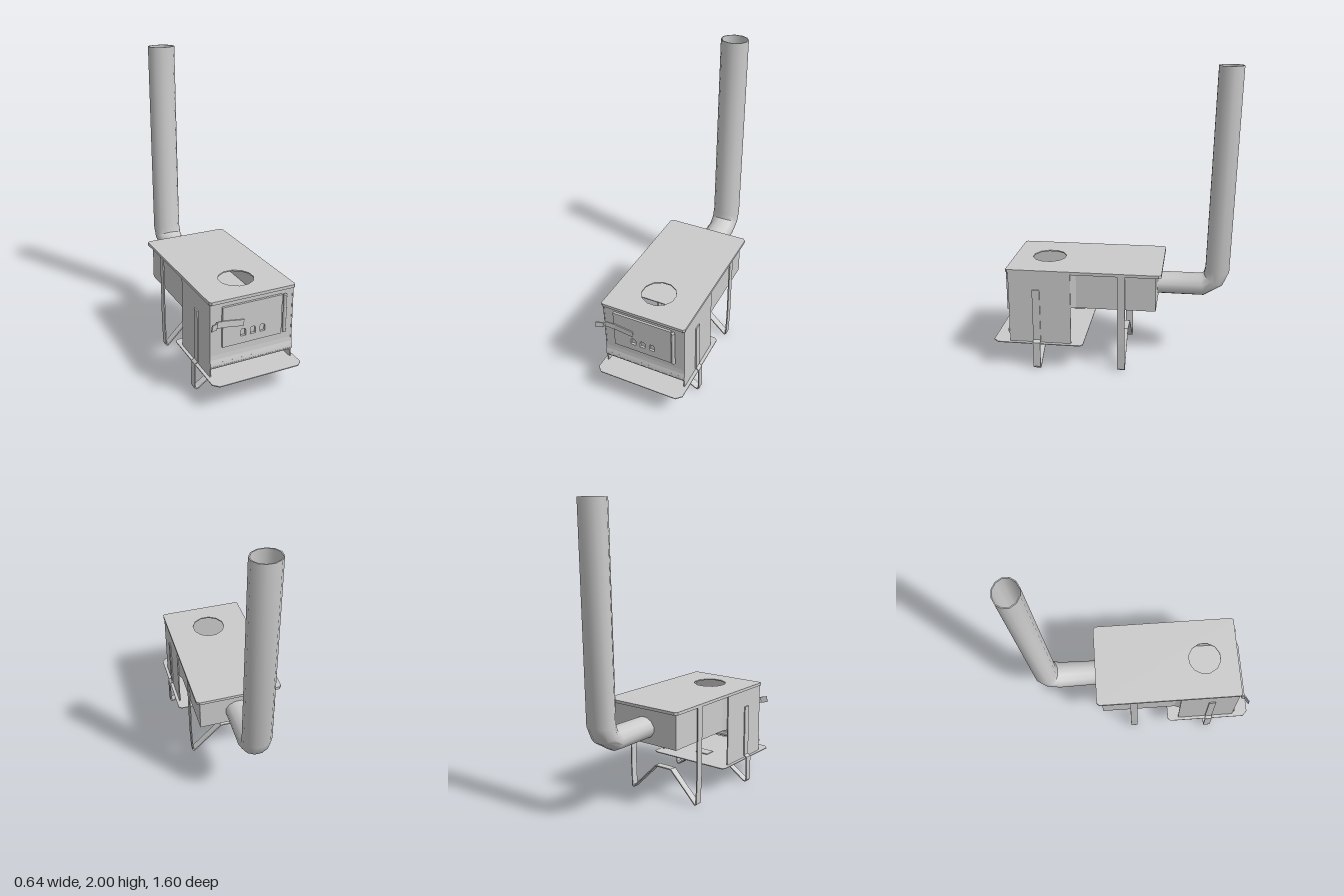
import * as THREE from 'three';
import { mergeGeometries, toCreasedNormals } from 'three/addons/utils/BufferGeometryUtils.js';

const steel = new THREE.MeshStandardMaterial({ color: 0xcccccc, side: THREE.DoubleSide });

function add(parent, name, geometry) {
  const mesh = new THREE.Mesh(geometry, steel);
  mesh.name = name;
  parent.add(mesh);
  return mesh;
}

// Box given by its lower and upper limits
function slab(x0, x1, y0, y1, z0, z1) {
  return new THREE.BoxGeometry(x1 - x0, y1 - y0, z1 - z0)
    .translate((x0 + x1) / 2, (y0 + y1) / 2, (z0 + z1) / 2);
}

// Bent flat bar: follows points in the xy plane, with its width along z
function bentStrip(points, width, thickness) {
  const parts = [];
  for (let i = 1; i < points.length; i++) {
    const [ax, ay] = points[i - 1], [bx, by] = points[i];
    const dx = bx - ax, dy = by - ay;
    parts.push(new THREE.BoxGeometry(Math.hypot(dx, dy) + thickness * 0.6, thickness, width)
      .rotateZ(Math.atan2(dy, dx)).translate((ax + bx) / 2, (ay + by) / 2, 0));
  }
  return mergeGeometries(parts);
}

// Rectangle with cut corners; front is the +z end
function cutCorners(x, zBack, zFront, cutBack, cutFront, PathType = THREE.Shape) {
  const path = new PathType();
  path.setFromPoints([
    [-x + cutFront, -zFront], [x - cutFront, -zFront], [x, -zFront + cutFront],
    [x, -zBack - cutBack], [x - cutBack, -zBack], [-x + cutBack, -zBack],
    [-x, -zBack - cutBack], [-x, -zFront + cutFront], [-x + cutFront, -zFront],
  ].map(([a, b]) => new THREE.Vector2(a, b)));
  return path;
}

function layFlat(shape, y0, y1) {
  return new THREE.ExtrudeGeometry(shape, { depth: y1 - y0, bevelEnabled: false })
    .rotateX(-Math.PI / 2).translate(0, y0, 0);
}

// Hollow pipe lofted through oval rings: [inner y, inner z, outer y, outer z, half width]
function pipeGeometry(rings, sides, bore) {
  const sections = rings.map((r) => [...r, 1])
    .concat([...rings].reverse().map((r) => [...r, bore]));
  const positions = [], index = [];
  sections.forEach(([iy, iz, oy, oz, w, s], k) => {
    for (let i = 0; i < sides; i++) {
      const a = ((i + 0.5) / sides) * Math.PI * 2;
      const c = Math.cos(a) * s / 2;
      positions.push(Math.sin(a) * w * s, (iy + oy) / 2 + (iy - oy) * c, (iz + oz) / 2 + (iz - oz) * c);
      if (k + 1 < sections.length) {
        const p = k * sides + i, q = k * sides + (i + 1) % sides;
        index.push(p, p + sides, q, q, p + sides, q + sides);
      }
    }
  });
  const g = new THREE.BufferGeometry();
  g.setAttribute('position', new THREE.Float32BufferAttribute(positions, 3));
  g.setIndex(index);
  // Turn the faces outward if the loft runs the other way
  const p = g.attributes.position;
  const [a, b, c] = [0, 1, 2].map((i) => new THREE.Vector3().fromBufferAttribute(p, index[i]));
  const n = b.clone().sub(a).cross(c.clone().sub(a));
  const out = a.clone().sub(new THREE.Vector3(0, (rings[0][0] + rings[0][2]) / 2, a.z));
  if (n.dot(out) < 0) g.setIndex(index.reverse());
  return toCreasedNormals(g, 0.7);
}

export function createModel() {
  const stove = new THREE.Group();
  stove.name = 'campStove';

  // Cooking top with its round opening and hanging rim
  const top = cutCorners(0.295, -0.325, 0.7, 0.018, 0.012);
  const opening = new THREE.Path();
  opening.setFromPoints(Array.from({ length: 13 }, (_, i) => {
    const a = ((i + 0.5) / 12) * Math.PI * 2;
    return new THREE.Vector2(0.115 * Math.cos(a), -0.46 + 0.115 * Math.sin(a));
  }));
  top.holes.push(opening);
  add(stove, 'cookTop', layFlat(top, 0.692, 0.7));
  const rim = cutCorners(0.295, -0.325, 0.7, 0.018, 0.012);
  rim.holes.push(cutCorners(0.289, -0.319, 0.694, 0.016, 0.01, THREE.Path));
  add(stove, 'topRim', layFlat(rim, 0.68, 0.692));

  // Ash tray under the firebox
  add(stove, 'ashTray', layFlat(cutCorners(0.31, 0.19, 0.8, 0.02, 0.035), 0.18, 0.186));
  add(stove, 'trayTab', slab(-0.05, 0.05, 0.186, 0.192, 0.36, 0.44));

  // Firebox, open at the back below the rear chamber
  const firebox = new THREE.Group();
  firebox.name = 'firebox';
  stove.add(firebox);
  for (const s of [-1, 1]) {
    const wall = add(firebox, 'fireboxSide', slab(-0.004, 0.004, 0.18, 0.692, 0.27, 0.685));
    wall.position.x = s * 0.284;
  }
  const front = add(firebox, 'frontPanel', bentStrip(
    [[0.68, 0.692], [0.68, 0.33], [0.683, 0.3], [0.69, 0.275], [0.693, 0.258], [0.687, 0.245], [0.672, 0.243]],
    0.576, 0.007));
  front.rotation.y = -Math.PI / 2;

  // Rear chamber with flared mouth
  const chamber = new THREE.Group();
  chamber.name = 'rearChamber';
  stove.add(chamber);
  add(chamber, 'chamberFloor', slab(-0.266, 0.266, 0.44, 0.447, -0.29, 0.285));
  add(chamber, 'chamberBack', slab(-0.266, 0.266, 0.44, 0.692, -0.29, -0.283));
  for (const s of [-1, 1]) {
    const side = add(chamber, 'chamberSide', bentStrip([[-0.288, 0.263], [0.235, 0.263], [0.285, 0.282]]
      .map(([z, x]) => [z, -s * x]), 0.252, 0.006).rotateX(Math.PI / 2));
    side.rotation.y = -Math.PI / 2;
    side.position.y = 0.566;
  }

  // Door with three air holes
  const door = new THREE.Group();
  door.name = 'door';
  stove.add(door);
  const panel = new THREE.Shape();
  panel.setFromPoints([[-0.21, 0.38], [0.2, 0.38], [0.2, 0.65], [-0.21, 0.65]]
    .map(([x, y]) => new THREE.Vector2(x, y)));
  for (const x of [-0.07, -0.003, 0.064]) {
    const hole = new THREE.Path();
    hole.setFromPoints([[-0.018, 0.43], [0.018, 0.43], [0.018, 0.468], [0.01, 0.478], [-0.01, 0.478], [-0.018, 0.468]]
      .map(([dx, y]) => new THREE.Vector2(x + dx, y)));
    panel.holes.push(hole);
  }
  add(door, 'doorPanel', new THREE.ExtrudeGeometry(panel, { depth: 0.015, bevelEnabled: false }).translate(0, 0, 0.685));
  add(door, 'doorHinge', new THREE.CylinderGeometry(0.012, 0.012, 0.26, 10).translate(0.218, 0.52, 0.703));

  // Bent latch handle
  const handle = add(door, 'handle', bentStrip(
    [[-0.07, -0.703], [-0.2, -0.708], [-0.265, -0.718], [-0.268, -0.735], [-0.31, -0.757]], 0.042, 0.007)
    .rotateX(-Math.PI / 2).scale(1, 1, -1).scale(1, 1, -1));
  handle.geometry.translate(0.19, 0, 0).rotateZ(-0.17).translate(-0.19, 0.543, 0);

  // Flue pipe with elbow
  add(stove, 'fluePipe', pipeGeometry([
    [0.617, -0.284, 0.47, -0.284, 0.088],
    [0.617, -0.575, 0.47, -0.6, 0.094],
    [0.625, -0.594, 0.545, -0.722, 0.097],
    [0.66, -0.603, 0.645, -0.766, 0.098],
    [2, -0.638, 2, -0.802, 0.095],
  ], 12, 0.92));

  // Folding legs: one continuous bent strip for each pair
  const legPair = (name, half, z) => {
    const mirrored = [...half].reverse().map(([x, y]) => [-x, y]);
    add(stove, name, bentStrip([...half, ...mirrored], 0.05, 0.008)).position.z = z;
  };
  legPair('frontLegs', [[0.293, 0.56], [0.293, 0.205], [0.313, 0.19], [0.315, 0.02], [0.305, 0.009],
    [0.29, 0.012], [0.055, 0.172], [0.035, 0.176]], 0.5);
  legPair('rearLegs', [[0.287, 0.69], [0.285, 0.2], [0.278, 0.015], [0.268, 0.007],
    [0.255, 0.02], [0.065, 0.208], [0.045, 0.208]], -0.065);
  return stove;
}
